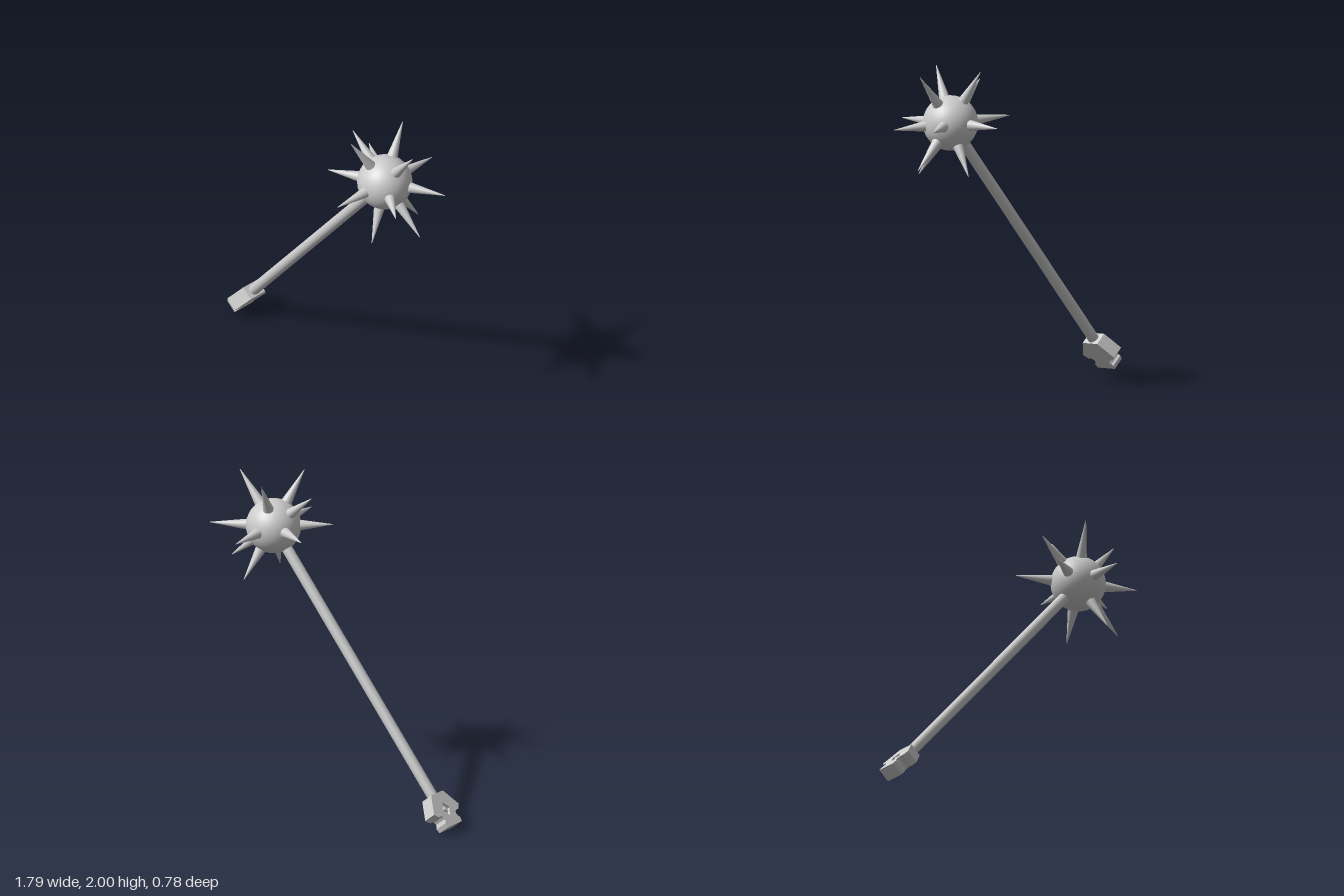
import * as THREE from 'three';

const metal = new THREE.MeshStandardMaterial({ color: 0xcccccc });
const UP = new THREE.Vector3(0, 1, 0);

function addMesh(parent, name, geometry) {
  const mesh = new THREE.Mesh(geometry, metal);
  mesh.name = name;
  parent.add(mesh);
  return mesh;
}

// Diamond outline, longer along the shaft
function diamond(w, h, cy, Type) {
  return new Type([[w, 0], [0, h], [-w, 0], [0, -h]].map(([x, y]) => new THREE.Vector2(x, y + cy)));
}

// Mirrored pommel outline: u = 0 is the butt, u = 0.22 meets the shaft
function pommelShape() {
  const half = [[0.07, 0], [0.077, 0.03], [0.065, 0.04], [0.058, 0.056], [0.065, 0.073],
    [0.082, 0.08], [0.1, 0.079], [0.128, 0.106], [0.06, 0.222]];
  const left = half.map(([x, y]) => [-x, y]).reverse();
  return new THREE.Shape([...half, ...left].map(([x, y]) => new THREE.Vector2(x, y)));
}

function extrude(shape, depth, z) {
  return new THREE.ExtrudeGeometry(shape, { depth, bevelEnabled: false }).translate(0, 0, z);
}

export function createModel() {
  const model = new THREE.Group();
  model.name = 'spikedMace';
  const centre = new THREE.Vector3(0.526, 1.672, -0.005);

  // Ball head
  addMesh(model, 'ball', new THREE.SphereGeometry(0.17, 48, 32)).position.copy(centre);

  // Spikes, given by their tips relative to the ball
  const tips = [
    [-0.096, 0.328, 0.195], [-0.048, 0.328, -0.2], [0.264, 0.308, 0.02], [-0.281, 0.243, 0],
    [-0.336, 0.028, -0.192], [-0.316, 0.02, 0.18], [0.359, -0.004, -0.165], [0.3, -0.03, 0.198],
    [0.309, -0.262, 0], [0.079, -0.327, 0.187], [0.077, -0.305, -0.21],
    [-0.011, -0.007, 0.395], [0.016, 0.003, -0.388],
  ];
  const spikes = new THREE.Group();
  spikes.name = 'spikes';
  spikes.position.copy(centre);
  model.add(spikes);
  for (const tip of tips) {
    const dir = new THREE.Vector3(...tip);
    const length = dir.length() - 0.14;
    dir.normalize();
    const cone = new THREE.CylinderGeometry(0.002, 0.037, length, 24).translate(0, 0.14 + length / 2, 0);
    addMesh(spikes, 'spike', cone).quaternion.setFromUnitVectors(UP, dir);
  }

  // Handle frame: y runs up the shaft, z is the pommel's upper face
  const yAxis = new THREE.Vector3(1.243, 1.468, 0.095).normalize();
  const zAxis = new THREE.Vector3(-yAxis.y, yAxis.x, 0).normalize();
  const xAxis = new THREE.Vector3().crossVectors(yAxis, zAxis);
  const handle = new THREE.Group();
  handle.name = 'handle';
  handle.quaternion.setFromRotationMatrix(new THREE.Matrix4().makeBasis(xAxis, yAxis, zAxis));
  handle.position.copy(centre);
  model.add(handle);

  // Shaft
  addMesh(handle, 'shaft', new THREE.CylinderGeometry(0.034, 0.034, 1.87, 32).translate(0, -1.035, 0));

  // Pommel plate with a recessed diamond on its upper face
  const pommel = new THREE.Group();
  pommel.name = 'pommel';
  pommel.position.y = -2.155;
  handle.add(pommel);
  addMesh(pommel, 'pommelPlate', extrude(pommelShape(), 0.072, -0.0435));
  const face = pommelShape();
  face.holes.push(diamond(0.036, 0.045, 0.11, THREE.Path));
  addMesh(pommel, 'pommelFace', extrude(face, 0.015, 0.0285));
  addMesh(pommel, 'diamondStud', extrude(diamond(0.014, 0.018, 0.11, THREE.Shape), 0.013, 0.0285));

  return model;
}
